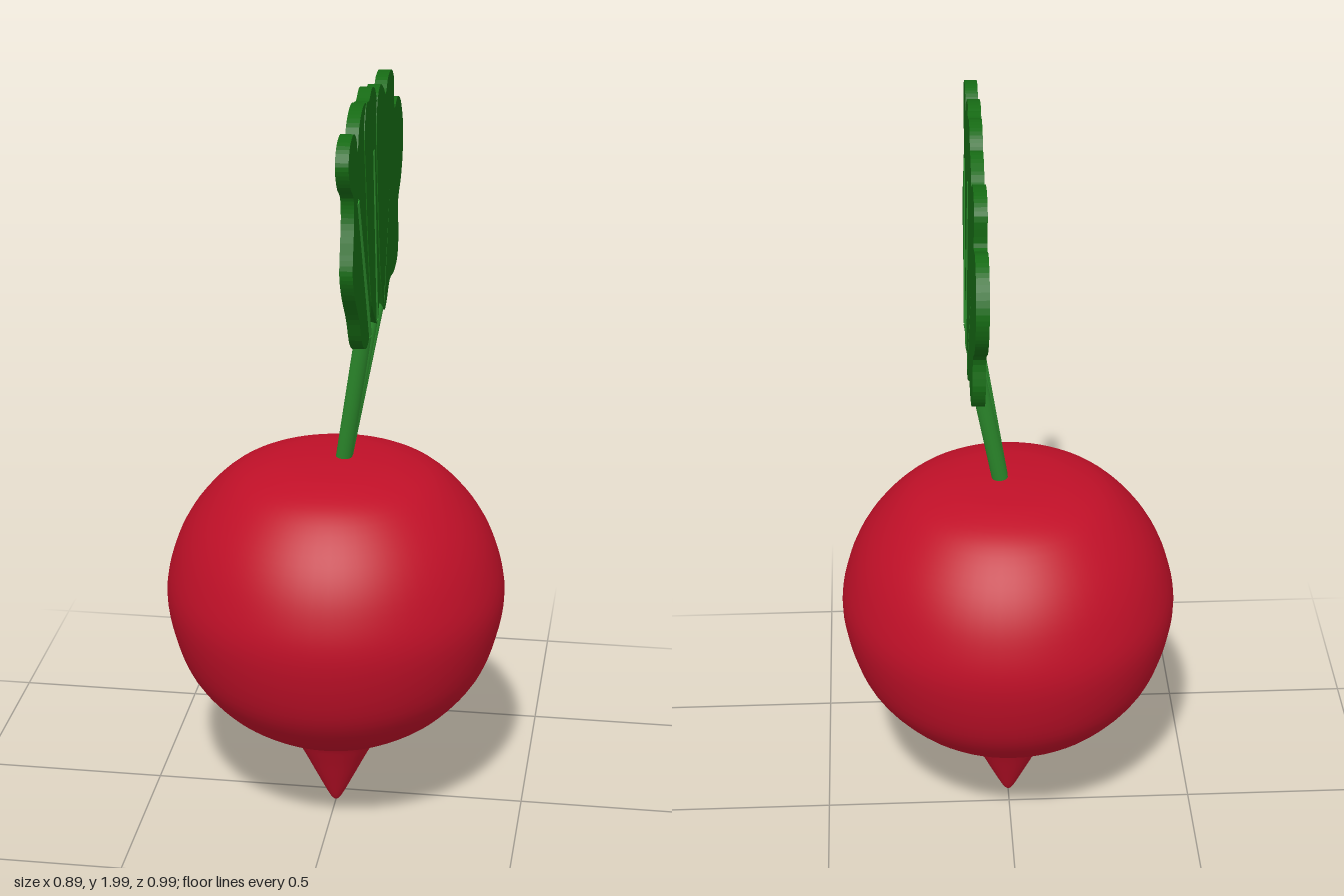
import * as THREE from 'three';

const red = new THREE.MeshStandardMaterial({ color: 0xc01028 });
const leafGreen = new THREE.MeshStandardMaterial({ color: 0x166a14 });
const stemGreen = new THREE.MeshStandardMaterial({ color: 0x2f932f });

// Round tapered rod between two points
function rod(name, a, b, rA, rB) {
  const dir = b.clone().sub(a);
  const mesh = new THREE.Mesh(new THREE.CylinderGeometry(rB, rA, dir.length(), 16), stemGreen);
  mesh.position.copy(a).add(b).multiplyScalar(0.5);
  mesh.quaternion.setFromUnitVectors(new THREE.Vector3(0, 1, 0), dir.normalize());
  mesh.name = name;
  return mesh;
}

// Flat scalloped leaf: outline points are [-z, y], thickness runs along x
function leaf(name, outline, shift) {
  const curve = new THREE.CatmullRomCurve3(
    outline.map(([u, v]) => new THREE.Vector3(u, v, 0)), true, 'centripetal');
  const shape = new THREE.Shape(
    curve.getPoints(outline.length * 5).slice(0, -1).map((p) => new THREE.Vector2(p.x, p.y)));
  const geo = new THREE.ExtrudeGeometry(shape, { depth: 0.032, bevelEnabled: false });
  geo.rotateY(Math.PI / 2);
  geo.translate(-0.016 + shift, -1.4, 0);
  geo.rotateZ(0.02);
  geo.translate(0.09, 1.4, 0);
  const mesh = new THREE.Mesh(geo, leafGreen);
  mesh.name = name;
  return mesh;
}

export function createModel() {
  const model = new THREE.Group();
  model.name = 'radish';

  // Bulb and tapering root in one turned profile
  const profile = new THREE.SplineCurve([
    [0, 0.008], [0.015, 0.022], [0.05, 0.09], [0.09, 0.17], [0.125, 0.23], [0.165, 0.25],
    [0.23, 0.278], [0.32, 0.345], [0.4, 0.455], [0.443, 0.62], [0.425, 0.75],
    [0.37, 0.865], [0.28, 0.96], [0.18, 1.003], [0.08, 1.017], [0, 1.02],
  ].map(([r, y]) => new THREE.Vector2(r, y)));
  const points = profile.getPoints(75);
  points.forEach((p) => { p.x = Math.max(p.x, 0); });
  const bulb = new THREE.Mesh(new THREE.LatheGeometry(points, 64), red);
  bulb.position.z = 0.057;
  bulb.name = 'bulb';
  model.add(bulb);

  // Leaves
  model.add(
    leaf('leftLeaf', [
      [-0.19, 1.4], [-0.25, 1.385], [-0.32, 1.42], [-0.37, 1.5], [-0.44, 1.585], [-0.463, 1.64],
      [-0.445, 1.7], [-0.42, 1.77], [-0.425, 1.82], [-0.475, 1.86], [-0.497, 1.915],
      [-0.465, 1.957], [-0.4, 1.968], [-0.36, 1.945], [-0.342, 1.91], [-0.31, 1.96],
      [-0.245, 1.99], [-0.18, 1.985], [-0.13, 1.93], [-0.11, 1.8], [-0.14, 1.6], [-0.16, 1.46],
    ], -0.002),
    leaf('middleLeaf', [
      [-0.06, 1.385], [-0.11, 1.42], [-0.16, 1.475], [-0.2, 1.62], [-0.22, 1.8], [-0.23, 1.93],
      [-0.19, 1.985], [-0.145, 1.983], [-0.09, 2.0], [-0.035, 1.983], [-0.005, 1.94],
      [0.01, 1.8], [0.03, 1.62], [0.015, 1.47], [-0.025, 1.42],
    ], 0),
    leaf('rightLeaf', [
      [0.06, 1.38], [0.035, 1.42], [0, 1.5], [-0.02, 1.65], [-0.03, 1.85], [-0.01, 1.945],
      [0.05, 1.973], [0.11, 1.95], [0.148, 1.925], [0.2, 1.955], [0.27, 1.957], [0.315, 1.925],
      [0.318, 1.845], [0.385, 1.857], [0.45, 1.83], [0.492, 1.755], [0.48, 1.685],
      [0.44, 1.63], [0.365, 1.575], [0.368, 1.49], [0.34, 1.437], [0.27, 1.418],
      [0.175, 1.423], [0.1, 1.383],
    ], 0.002),
  );

  // Stems, each continuing as a rib through its leaf: [tip z, rib end z, rib end y]
  const base = new THREE.Vector3(0.017, 0.99, 0.053);
  [
    ['left', 0.187, 0.352, 1.79], ['middle', 0.063, 0.079, 1.84], ['right', -0.06, -0.267, 1.78],
  ].forEach(([side, tipZ, endZ, endY]) => {
    const tip = new THREE.Vector3(0.088, 1.4, tipZ);
    model.add(rod(side + 'Stem', base, tip, 0.021, 0.021));
    model.add(rod(side + 'Rib', tip, new THREE.Vector3(0.081, endY, endZ), 0.021, 0.019));
  });
  return model;
}
